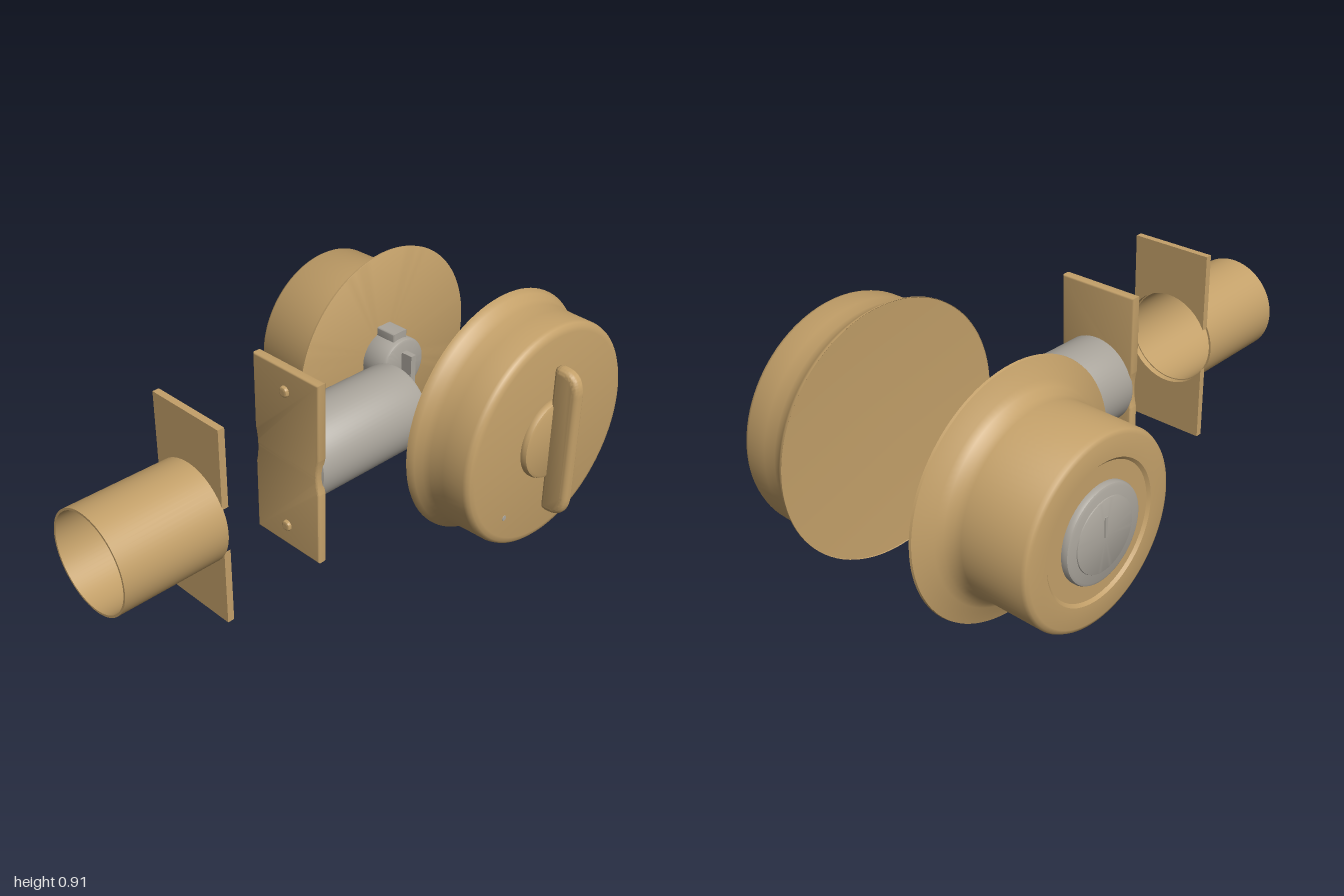
import * as THREE from 'three';
import { toCreasedNormals } from 'three/addons/utils/BufferGeometryUtils.js';

const CY = 0.456; // height of every axis
const CZ = -0.545; // depth of the two side housings

export function createModel() {
  const root = new THREE.Group();
  root.name = 'deadboltLock';
  const brass = new THREE.MeshStandardMaterial({ color: 0xc3a069 });
  brass.name = 'brass';
  const steel = new THREE.MeshStandardMaterial({ color: 0xaaa59c });
  steel.name = 'steel';

  function add(parent, name, geometry, material, x = 0, y = 0, z = 0) {
    const mesh = new THREE.Mesh(geometry, material);
    mesh.name = name;
    mesh.position.set(x, y, z);
    parent.add(mesh);
    return mesh;
  }
  function group(name, x, y, z) {
    const g = new THREE.Group();
    g.name = name;
    g.position.set(x, y, z);
    root.add(g);
    return g;
  }
  // Turned part from [position along axis, radius] pairs, along x or z
  function turned(profile, axis, segments = 64) {
    const points = profile.map(([a, r]) => new THREE.Vector2(r, a));
    const g = new THREE.LatheGeometry(points, segments);
    if (axis === 'x') g.rotateZ(-Math.PI / 2);
    else g.rotateX(Math.PI / 2);
    return toCreasedNormals(g, 0.7);
  }
  // Solid disc with softened far and near rims
  function disc(a0, a1, r, b0, b1, axis) {
    const p = [[a0, 0], [a0, r - b0], [a0 + b0 * 0.3, r - b0 * 0.3], [a0 + b0, r],
      [a1 - b1, r], [a1 - b1 * 0.3, r - b1 * 0.3], [a1, r - b1], [a1, 0]];
    return turned(p, axis);
  }
  // Shape pulled along z between z0 and z1 with a rounded edge inside its outline
  function slab(shape, z0, z1, bevel, segments = 3) {
    const g = new THREE.ExtrudeGeometry(shape, {
      depth: z1 - z0 - 2 * bevel, bevelEnabled: bevel > 0, bevelThickness: bevel,
      bevelSize: bevel, bevelOffset: -bevel, bevelSegments: segments, curveSegments: 24,
    });
    g.translate(0, 0, z0 + bevel);
    return toCreasedNormals(g, 0.7);
  }

  // Inside housing with thumb turn
  const inner = group('thumbTurnHousing', 0, CY, CZ);
  add(inner, 'thumbTurnRose', turned([
    [0.29, 0], [0.272, 0.453], [0.27, 0.455], [0.275, 0.455], [0.295, 0.443], [0.32, 0.428],
    [0.345, 0.421], [0.40, 0.418], [0.485, 0.416], [0.498, 0.412], [0.507, 0.402],
    [0.511, 0.385], [0.511, 0],
  ], 'x', 96), brass);
  add(inner, 'turnBase', disc(0.505, 0.536, 0.15, 0.002, 0.014, 'x'), brass);
  const grip = new THREE.Shape();
  grip.moveTo(0.518, -0.27);
  grip.quadraticCurveTo(0.52, -0.29, 0.545, -0.29);
  grip.bezierCurveTo(0.60, -0.29, 0.624, -0.26, 0.624, -0.20);
  grip.lineTo(0.624, 0.20);
  grip.bezierCurveTo(0.624, 0.26, 0.60, 0.29, 0.545, 0.29);
  grip.quadraticCurveTo(0.52, 0.29, 0.518, 0.27);
  grip.closePath();
  add(inner, 'thumbTurn', slab(grip, -0.025, 0.025, 0.0235, 6), brass);
  add(inner, 'setScrew', disc(0.505, 0.513, 0.01, 0.001, 0.001, 'x'), steel, 0, -0.24, 0.21);

  // Outside housing with key cylinder
  const outer = group('keyHousing', 0, CY, CZ);
  add(outer, 'keyRose', turned([
    [-0.603, 0], [-0.603, 0.225], [-0.612, 0.235], [-0.612, 0.305], [-0.607, 0.318],
    [-0.595, 0.325], [-0.37, 0.327], [-0.345, 0.332], [-0.32, 0.348], [-0.305, 0.37],
    [-0.28, 0.434], [-0.272, 0.436], [-0.271, 0.434], [-0.285, 0],
  ], 'x', 96), brass);
  add(outer, 'keyFace', disc(-0.626, -0.58, 0.165, 0.012, 0.002, 'x'), steel);
  add(outer, 'keyPlug', disc(-0.63, -0.61, 0.125, 0.004, 0.002, 'x'), steel);
  add(outer, 'keySlot', new THREE.BoxGeometry(0.004, 0.07, 0.012), steel, -0.631, 0.03, 0);
  add(outer, 'cylinderBody', disc(-0.30, -0.174, 0.107, 0.002, 0.012, 'x'), steel);
  const lug = new THREE.Shape();
  lug.moveTo(-0.29, 0.08);
  lug.lineTo(-0.195, 0.08);
  lug.lineTo(-0.195, 0.134);
  lug.lineTo(-0.29, 0.134);
  lug.closePath();
  add(outer, 'cylinderLug', slab(lug, -0.035, 0.035, 0.006), steel);
  add(outer, 'tailpiece', new THREE.BoxGeometry(0.06, 0.12, 0.025), steel, -0.155, 0, 0);

  // Bolt body and its face plate
  const bolt = group('boltAssembly', 0, CY, 0);
  add(bolt, 'boltBarrel', disc(-0.325, 0.185, 0.16, 0.016, 0.016, 'z'), steel);
  const face = new THREE.Shape();
  face.moveTo(-0.156, -0.348);
  face.lineTo(0.156, -0.348);
  face.lineTo(0.156, -0.07);
  face.quadraticCurveTo(0.138, 0, 0.156, 0.07);
  face.lineTo(0.156, 0.352);
  face.lineTo(-0.156, 0.352);
  face.lineTo(-0.156, 0.07);
  face.quadraticCurveTo(-0.138, 0, -0.156, -0.07);
  face.closePath();
  add(bolt, 'facePlate', slab(face, 0.17, 0.206, 0.007), brass);
  for (const y of [-0.265, 0.27]) {
    add(bolt, 'faceScrew', disc(0.2, 0.22, 0.02, 0.002, 0.01, 'z'), brass, 0, y, 0);
  }

  // Strike plate: upper and lower halves around the bolt opening
  const strike = group('strikeAssembly', 0, CY, 0);
  const W = 0.157, R = 0.177;
  const a = Math.acos(W / R);
  for (const [s, end] of [[1, 0.369], [-1, 0.366]]) {
    const half = new THREE.Shape();
    half.moveTo(-W, s * end);
    half.lineTo(W, s * end);
    half.lineTo(W, s * R * Math.sin(a));
    half.absarc(0, 0, R, s * a, s * (Math.PI - a), s < 0);
    half.closePath();
    add(strike, s > 0 ? 'strikePlateTop' : 'strikePlateBottom', slab(half, 0.585, 0.61, 0), brass);
  }
  // Open dust tube
  add(strike, 'strikeTube', turned([
    [0.608, 0.173], [0.608, 0.181], [1, 0.181], [1, 0.173], [0.608, 0.173],
  ], 'z', 72), brass);

  return root;
}
